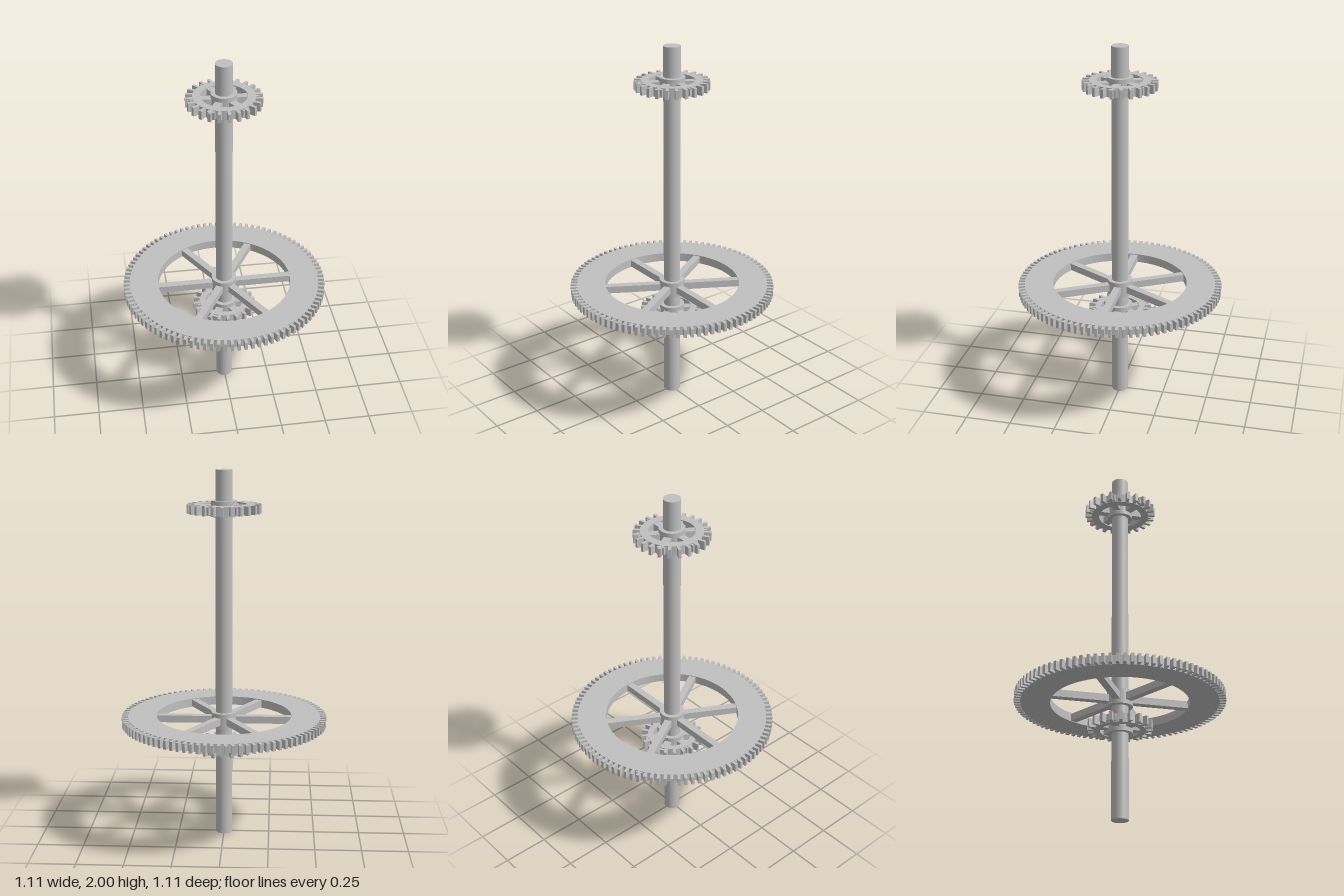
import * as THREE from 'three';

const steel = new THREE.MeshStandardMaterial({ color: 0xc0c0c0 });
steel.name = 'steel grey';

function addMesh(parent, name, geometry, y = 0) {
  const mesh = new THREE.Mesh(geometry, steel);
  mesh.name = name;
  mesh.position.y = y;
  parent.add(mesh);
  return mesh;
}

// Flat ring lying in the xz plane, centred on its own thickness
function ringGeometry(outer, inner, thickness) {
  const shape = new THREE.Shape().absarc(0, 0, outer, 0, Math.PI * 2, false);
  shape.holes.push(new THREE.Path().absarc(0, 0, inner, 0, Math.PI * 2, true));
  const geo = new THREE.ExtrudeGeometry(shape, { depth: thickness, bevelEnabled: false, curveSegments: 72 });
  return geo.translate(0, 0, -thickness / 2).rotateX(-Math.PI / 2);
}

// Spoked gear: hub, rim, spokes through the rim, and square teeth
function createGear({ name, y, tip, root, inner, spokeEnd, teeth, toothWidth }) {
  const gear = new THREE.Group();
  gear.name = name;
  gear.position.y = y;

  addMesh(gear, 'hub', new THREE.CylinderGeometry(0.068, 0.068, 0.084, 48));
  addMesh(gear, 'rim', ringGeometry(root, inner, 0.048));

  // Three bars across the full diameter make six spokes
  const bar = new THREE.BoxGeometry(spokeEnd * 2, 0.039, 0.039);
  for (let i = 0; i < 3; i++) {
    addMesh(gear, 'spokePair', bar).rotation.y = (i * Math.PI) / 3;
  }

  // Teeth are sunk slightly into the rim
  const sunk = 0.01;
  const length = tip - root + sunk;
  const tooth = new THREE.BoxGeometry(length, 0.047, toothWidth);
  tooth.translate(root - sunk + length / 2, 0, 0);
  for (let i = 0; i < teeth; i++) {
    addMesh(gear, 'tooth', tooth).rotation.y = (i * Math.PI * 2) / teeth;
  }
  return gear;
}

export function createModel() {
  const model = new THREE.Group();
  model.name = 'gearShaft';

  addMesh(model, 'shaft', new THREE.CylinderGeometry(0.045, 0.045, 2, 48), 1);

  model.add(
    createGear({ name: 'upperGear', y: 1.798, tip: 0.196, root: 0.16, inner: 0.119, spokeEnd: 0.176, teeth: 24, toothWidth: 0.016 }),
    createGear({ name: 'largeGear', y: 0.652, tip: 0.557, root: 0.523, inner: 0.367, spokeEnd: 0.53, teeth: 96, toothWidth: 0.016 }),
    createGear({ name: 'lowerGear', y: 0.502, tip: 0.172, root: 0.137, inner: 0.105, spokeEnd: 0.15, teeth: 20, toothWidth: 0.016 })
  );
  return model;
}
